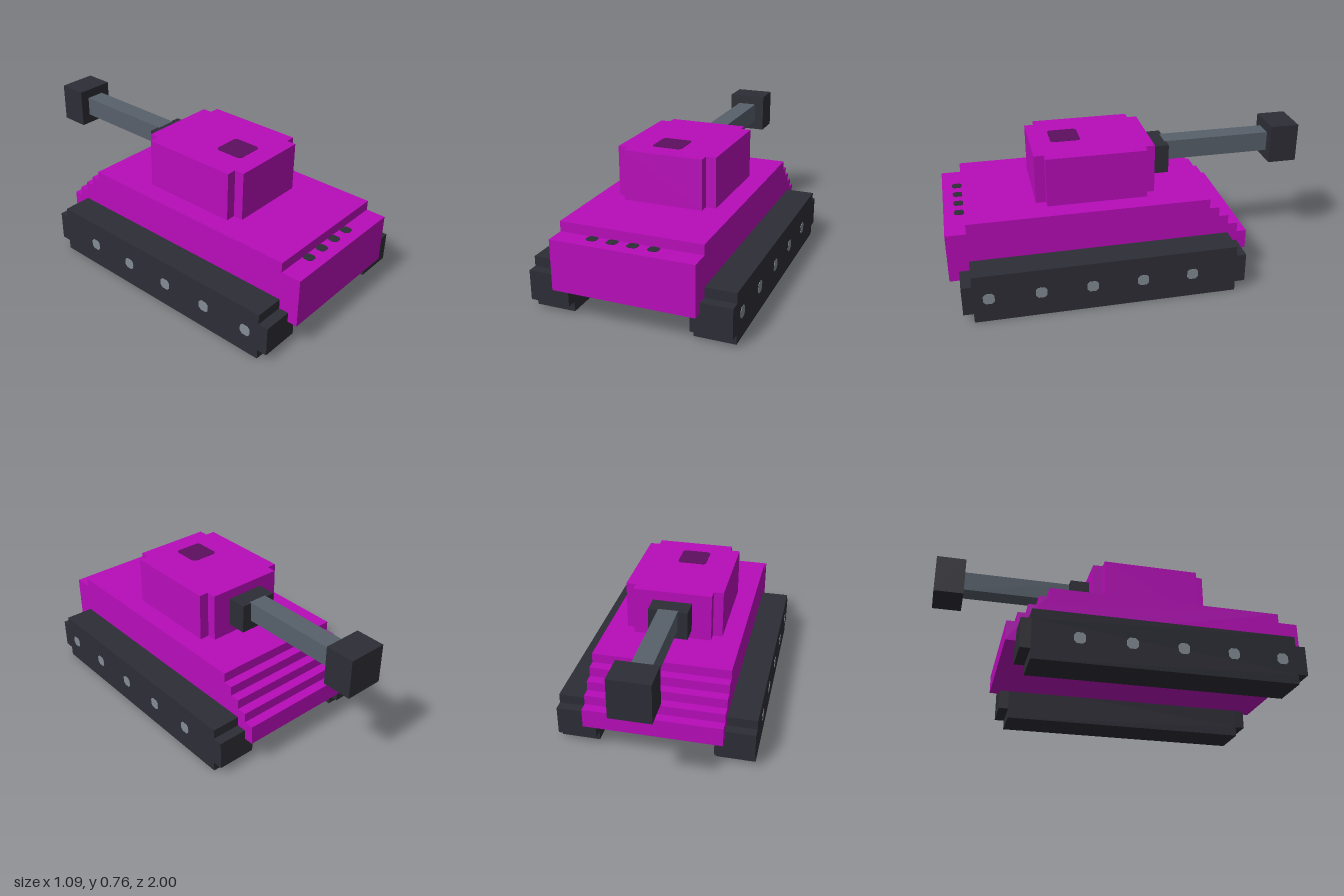
import * as THREE from 'three';

const U = 2 / 37; // block size: every part sits on this grid
const mat = (name, color) => Object.assign(new THREE.MeshStandardMaterial({ color }), { name });

export function createModel() {
  const paint = mat('magenta paint', 0xb80dba);
  const dark = mat('dark steel', 0x2d2d36);
  const steel = mat('barrel steel', 0x57606b);
  const silver = mat('wheel silver', 0x838c94);
  const hatchPaint = mat('dark magenta', 0x5e0f60);

  const model = new THREE.Group();
  model.name = 'tank';
  const add = (name, geometry, material, x = 0, y = 0, z = 0) => {
    const mesh = new THREE.Mesh(geometry, material);
    mesh.name = name;
    mesh.position.set(x, y, z);
    model.add(mesh);
    return mesh;
  };

  // Box between two corners
  const box = (name, material, [x0, y0, z0], [x1, y1, z1]) =>
    add(name, new THREE.BoxGeometry(x1 - x0, y1 - y0, z1 - z0), material,
      (x0 + x1) / 2, (y0 + y1) / 2, (z0 + z1) / 2);

  const shapeOf = (points) => new THREE.Shape(points.map(([a, b]) => new THREE.Vector2(a, b)));
  const extrude = (points, depth) =>
    new THREE.ExtrudeGeometry(shapeOf(points), { depth, bevelEnabled: false });

  // Side profile in blocks (z counted from the muzzle end, y), extruded across x
  const sideProfile = (blocks, width) =>
    extrude(blocks.map(([k, y]) => [1 - k * U, y * U]), width)
      .translate(0, 0, -width / 2).rotateY(Math.PI / 2);

  // Thin plate with clipped corners, facing +z
  const plate = (w, h, c) => extrude([
    [-w + c, -h], [w - c, -h], [w, -h + c], [w, h - c],
    [w - c, h], [-w + c, h], [-w, h - c], [-w, -h + c],
  ], 0.004).translate(0, 0, -0.002);

  // Hull with stepped rear deck
  add('hull', sideProfile([
    [37, 3], [37, 8], [35, 8], [35, 9], [11, 9], [11, 8], [10, 8], [10, 7],
    [9, 7], [9, 6], [8, 6], [8, 5], [7, 5], [7, 3],
  ], 14 * U), paint);

  // Tracks with notched ends, and wheel hubs on their outer faces
  for (const side of [-1, 1]) {
    const label = side > 0 ? 'left' : 'right';
    add(label + 'Track', sideProfile([
      [35, 0], [35, 1], [36, 1], [36, 4], [35, 4], [35, 5],
      [9, 5], [9, 4], [8, 4], [8, 1], [9, 1], [9, 0],
    ], 4 * U), dark, side * 8 * U);
    for (let i = 0; i < 5; i++) {
      add(label + 'WheelHub', plate(0.03, 0.03, 0.014), silver,
        side * 10 * U, 2.5 * U, (15 - 5 * i) * U).rotation.y = side * Math.PI / 2;
    }
  }

  // Turret with notched vertical corners
  const a = 4 * U, b = 5 * U, c = 5 * U, d = 6 * U;
  add('turret', extrude([
    [-a, -d], [a, -d], [a, -c], [b, -c], [b, c], [a, c],
    [a, d], [-a, d], [-a, c], [-b, c], [-b, -c], [-a, -c],
  ], 5 * U).rotateX(-Math.PI / 2), paint, 0, 9 * U, 3.5 * U);

  // Roof hatch and front deck vents
  add('hatch', plate(0.081, 0.081, 0.014), hatchPaint, -0.5 * U, 14 * U, 0.32)
    .rotation.x = -Math.PI / 2;
  for (let i = 0; i < 4; i++) {
    add('deckVent', plate(0.027, 0.027, 0.012), dark, (-3.5 + 2 * i) * U, 8 * U, 0.917)
      .rotation.x = -Math.PI / 2;
  }

  // Gun: mantlet, barrel and muzzle block
  box('mantlet', dark, [-2 * U, 10 * U, -0.243], [2 * U, 13 * U, -0.135]);
  box('barrel', steel, [-U, 11 * U, -0.85], [U, 13 * U + 0.002, -0.232]);
  box('muzzle', dark, [-2 * U, 10 * U, -1], [2 * U, 14 * U, -1 + 3 * U]);

  return model;
}
